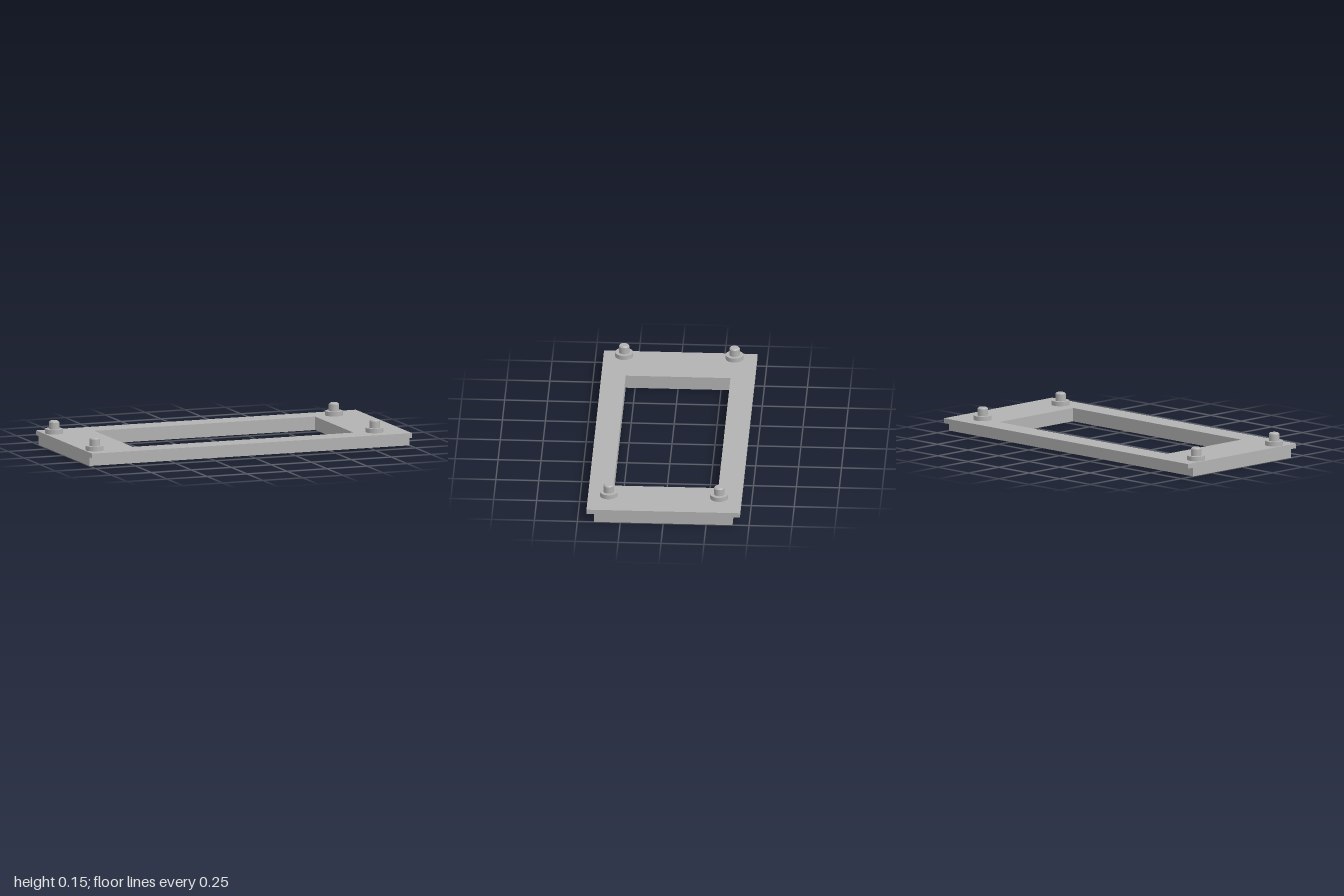
import * as THREE from 'three';

const grey = new THREE.MeshStandardMaterial({ color: 0xb2b2b2 });
grey.name = 'grey metal';

// Rectangular frame with a window, lying flat from y0 to y1
function frame(name, halfX, halfZ, y0, y1) {
  const shape = new THREE.Shape([
    new THREE.Vector2(-halfX, -halfZ), new THREE.Vector2(halfX, -halfZ),
    new THREE.Vector2(halfX, halfZ), new THREE.Vector2(-halfX, halfZ),
  ]);
  const wx = 0.69, wz = 0.305;
  shape.holes.push(new THREE.Path([
    new THREE.Vector2(-wx, -wz), new THREE.Vector2(-wx, wz),
    new THREE.Vector2(wx, wz), new THREE.Vector2(wx, -wz),
  ]));
  const geometry = new THREE.ExtrudeGeometry(shape, { depth: y1 - y0, bevelEnabled: false });
  geometry.rotateX(-Math.PI / 2).translate(0, y0, 0);
  const mesh = new THREE.Mesh(geometry, grey);
  mesh.name = name;
  return mesh;
}

// Upright round section from y0 to y1
function round(name, bottomRadius, topRadius, y0, y1) {
  const geometry = new THREE.CylinderGeometry(topRadius, bottomRadius, y1 - y0, 48);
  geometry.translate(0, (y0 + y1) / 2, 0);
  const mesh = new THREE.Mesh(geometry, grey);
  mesh.name = name;
  return mesh;
}

// Collar, pin and chamfered pin tip
function createStud(x, z) {
  const stud = new THREE.Group();
  stud.name = 'stud';
  stud.add(
    round('collar', 0.052, 0.052, 0.079, 0.105),
    round('pin', 0.0305, 0.0305, 0.105, 0.145),
    round('pinTip', 0.0305, 0.0235, 0.145, 0.152),
  );
  stud.position.set(x, 0, z);
  return stud;
}

export function createModel() {
  const model = new THREE.Group();
  model.name = 'mountingFrame';

  // Narrower base under a plate that overhangs front and back
  model.add(frame('base', 1, 0.404, 0, 0.051));
  model.add(frame('topPlate', 1, 0.447, 0.051, 0.079));

  // Four studs, set off-centre along the plate
  for (const x of [-0.938, 0.812]) {
    for (const z of [-0.316, 0.327]) model.add(createStud(x, z));
  }
  return model;
}
